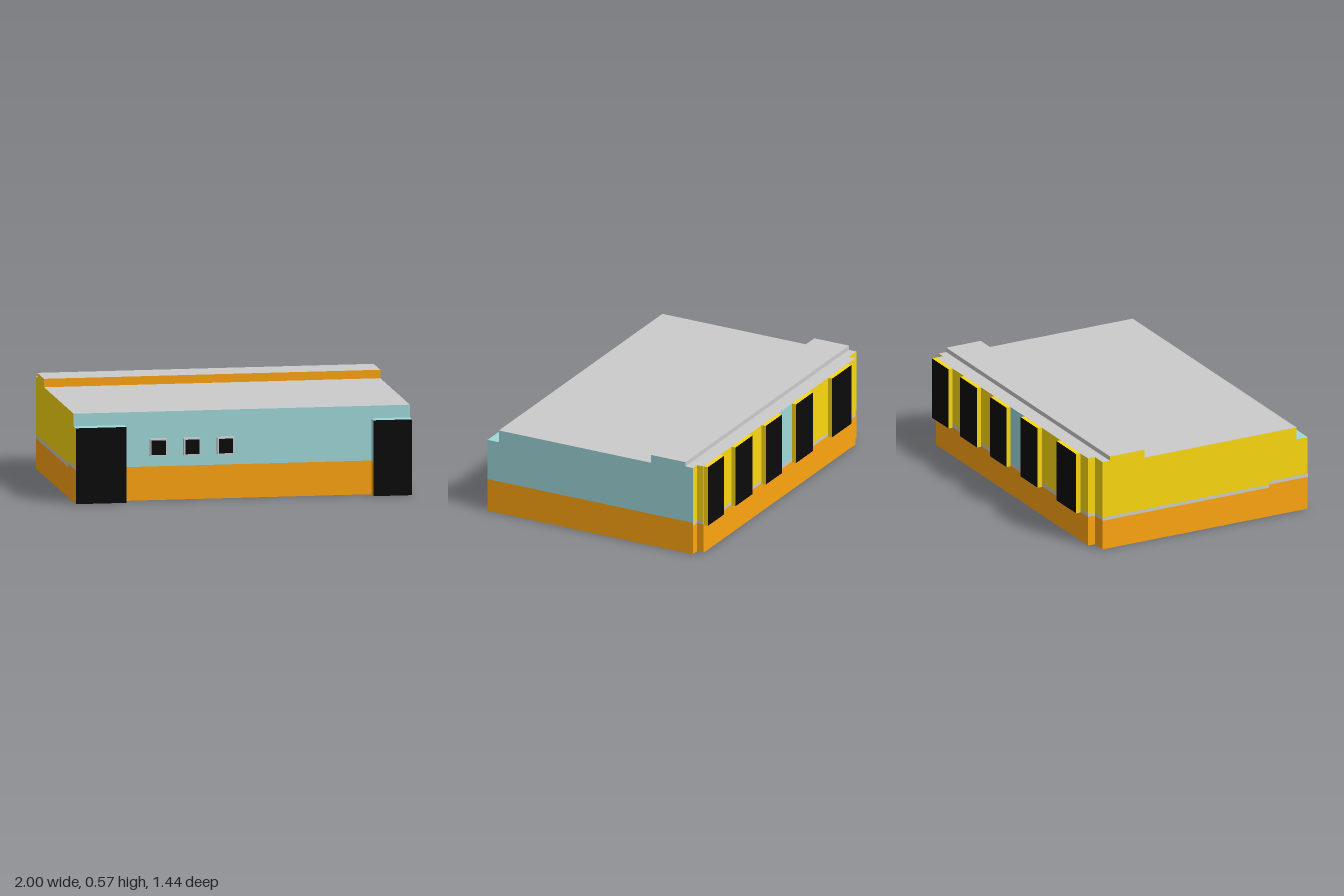
import * as THREE from 'three';

const paint = (color) => new THREE.MeshStandardMaterial({ color });
const grey = paint(0xcccccc), orange = paint(0xffa511), teal = paint(0x9fd9da);
const yellow = paint(0xfcd811), black = paint(0x0b0b0b);

// Axis-aligned block showing only the sides that are given a material
function block(name, [x0, x1], [y0, y1], [z0, z1], sides) {
  const group = new THREE.Group();
  group.name = name;
  const w = x1 - x0, h = y1 - y0, d = z1 - z0;
  const layout = {
    right: [d, h, 0, Math.PI / 2, w / 2, 0, 0],
    left: [d, h, 0, -Math.PI / 2, -w / 2, 0, 0],
    top: [w, d, -Math.PI / 2, 0, 0, h / 2, 0],
    bottom: [w, d, Math.PI / 2, 0, 0, -h / 2, 0],
    front: [w, h, 0, 0, 0, 0, d / 2],
    back: [w, h, 0, Math.PI, 0, 0, -d / 2],
  };
  for (const [side, material] of Object.entries(sides)) {
    const [a, b, rx, ry, px, py, pz] = layout[side];
    const mesh = new THREE.Mesh(new THREE.PlaneGeometry(a, b), material);
    mesh.name = `${name} ${side}`;
    mesh.rotation.set(rx, ry, 0);
    mesh.position.set(px, py, pz);
    group.add(mesh);
  }
  group.position.set((x0 + x1) / 2, (y0 + y1) / 2, (z0 + z1) / 2);
  return group;
}

export function createModel() {
  const model = new THREE.Group();
  model.name = 'building';
  const add = (...args) => model.add(block(...args));

  const full = [-1, 1], bay = [-0.905, 0.95];
  const plinth = [0, 0.18], band = [0.18, 0.2];
  const backZ = -0.65, bayZ = -0.695, frontZ = 0.645, pillarZ = 0.72;
  const roofY = 0.525, ridgeY = 0.575, ledgeY = 0.548, pillarY = 0.45;

  // Plinth and grey band of the main hall
  add('plinth', full, plinth, [backZ, frontZ], { right: orange, left: orange, bottom: black });
  add('band', full, band, [backZ, 0.46], { right: orange, left: grey });
  add('bandEnd', full, band, [0.46, frontZ], { right: orange, left: orange });
  add('raisedBand', full, [0.2, 0.22], [0.46, frontZ], { right: teal, left: grey });

  // Side walls and roof in stepped sections
  const walls = { right: teal, left: yellow };
  add('hallWalls', full, [0.2, roofY], [-0.37, 0.46], walls);
  add('hallFrontWalls', full, [0.22, roofY], [0.46, frontZ], walls);
  add('roof', full, [0.2, roofY], [-0.37, frontZ], { top: grey });
  add('ridge', full, [0.2, ridgeY], [-0.6, -0.37], { ...walls, top: grey });
  add('ridgeFront', full, [roofY, ridgeY], [-0.6, -0.37], { front: orange });
  add('ridgeBack', full, [ledgeY, ridgeY], [-0.6, -0.37], { back: grey });
  add('ledge', full, [0.2, ledgeY], [backZ, -0.6], { ...walls, top: grey });

  // Front wall between and above the corner pillars
  add('frontPlinth', [-0.7, 0.77], [0, 0.2], [0, frontZ], { front: orange });
  add('frontWall', [-0.7, 0.77], [0.2, pillarY], [0, frontZ], { front: teal });
  add('frontParapet', full, [pillarY, roofY], [0, frontZ], { front: teal });

  // Corner pillars
  for (const [x, outer] of [[[-1, -0.7], yellow], [[0.77, 1], teal]]) {
    const z = [frontZ, pillarZ];
    add('pillarBase', x, [0, 0.2], z, { left: orange, right: orange, front: black, bottom: black });
    add('pillar', x, [0.2, pillarY], z, { left: outer, right: teal, top: teal, front: black });
    if (outer === yellow) {
      model.add(block('pillarBand', [-1.001, -0.9], [0.2, 0.22], z, { left: grey }));
    }
  }

  // Framed front windows
  for (const x of [-0.5, -0.3, -0.1]) {
    add('windowFrame', [x - 0.05, x + 0.05], [0.265, 0.365], [frontZ, 0.678],
      { left: grey, right: grey, top: grey, bottom: grey, front: grey });
    add('windowPane', [x - 0.042, x + 0.042], [0.272, 0.358], [frontZ, 0.68], { front: black });
  }

  // Recessed rear corners and projecting rear bay, stacked in three courses
  const courses = [[plinth, orange], [band, grey], [[0.2, ledgeY], yellow]];
  for (const [y, m] of courses) {
    add('rearCorner', [-1, bay[0]], y, [backZ, 0], { back: m });
    add('rearCorner', [bay[1], 1], y, [backZ, 0], { back: m });
    add('rearBaySides', bay, y, [bayZ, backZ], { left: m, right: m });
    if (m !== yellow) add('rearBayWall', bay, y, [bayZ, backZ], { back: m });
  }
  add('rearBayCaps', bay, [0, ledgeY], [bayZ, backZ], { top: grey, bottom: black });
  for (const [x, m] of [[[bay[0], -0.13], yellow], [[-0.13, 0.04], teal], [[0.04, bay[1]], yellow]]) {
    add('rearUpperWall', x, [0.2, ledgeY], [bayZ, backZ], { back: m });
  }

  // Dark rear panels
  for (const x of [[-0.81, -0.57], [-0.34, -0.13], [0.04, 0.24], [0.4, 0.61], [0.75, 0.948]]) {
    add('rearPanel', x, [0.175, ledgeY], [-0.722, bayZ],
      { left: yellow, right: yellow, top: yellow, bottom: grey, back: black });
  }
  return model;
}
